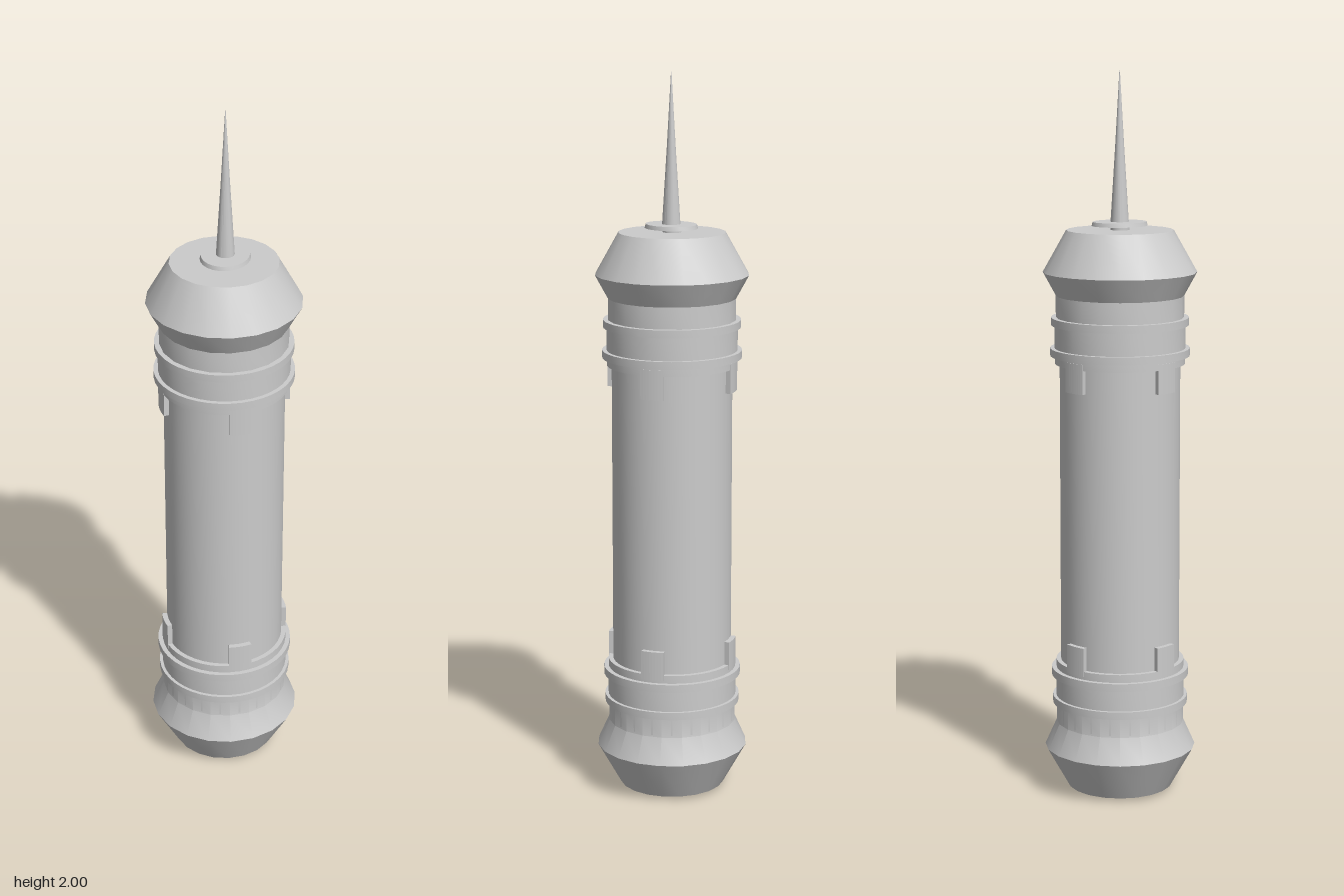
import * as THREE from 'three';
import { toCreasedNormals } from 'three/addons/utils/BufferGeometryUtils.js';

const material = new THREE.MeshStandardMaterial({ color: 0xcccccc });

function add(parent, name, geometry) {
  const mesh = new THREE.Mesh(geometry, material);
  mesh.name = name;
  parent.add(mesh);
  return mesh;
}

// Turned part from [radius, height] pairs, listed bottom to top
function turned(parent, name, profile, sides) {
  const points = profile.map(([r, y]) => new THREE.Vector2(r, y));
  const geometry = new THREE.LatheGeometry(points, sides);
  return add(parent, name, toCreasedNormals(geometry, 0.45));
}

// Curved block standing on a circle, from angle a0 to a1 around y
function curvedTab(parent, name, inner, outer, a0, a1, y0, y1) {
  const shape = new THREE.Shape();
  shape.absarc(0, 0, outer, a0, a1, false);
  shape.absarc(0, 0, inner, a1, a0, true);
  shape.closePath();
  const geometry = new THREE.ExtrudeGeometry(shape, {
    depth: y1 - y0, bevelEnabled: false, curveSegments: 4,
  });
  geometry.rotateX(-Math.PI / 2);
  geometry.translate(0, y0, 0);
  return add(parent, name, geometry);
}

function addTabs(parent, y0, y1) {
  const half = THREE.MathUtils.degToRad(10.5);
  for (let i = 0; i < 4; i++) {
    const a = THREE.MathUtils.degToRad(-62.5 + 90 * i);
    curvedTab(parent, 'collarTab', 0.155, 0.179, a - half, a + half, y0, y1);
  }
}

export function createModel() {
  const model = new THREE.Group();
  model.name = 'cylinderWithSpike';

  // Main barrel
  turned(model, 'barrel', [[0.165, 0.3], [0.165, 1.28]], 40);

  // Lower flared cap
  turned(model, 'lowerCap', [
    [0, 0.01], [0.146, 0.01], [0.21, 0.124], [0.178, 0.195], [0.178, 0.255],
  ], 20);
  turned(model, 'baseStud', [[0, 0], [0.027, 0], [0.027, 0.015]], 20);

  // Lower collar with two raised rings
  const lower = new THREE.Group();
  lower.name = 'lowerCollar';
  model.add(lower);
  turned(lower, 'collarBand', [
    [0.176, 0.2], [0.176, 0.25], [0.188, 0.25], [0.188, 0.271], [0.179, 0.271],
    [0.179, 0.33], [0.191, 0.33], [0.191, 0.352], [0.178, 0.352], [0.178, 0.374], [0.16, 0.374],
  ], 40);
  addTabs(lower, 0.36, 0.44);

  // Upper collar with two raised rings
  const upper = new THREE.Group();
  upper.name = 'upperCollar';
  model.add(upper);
  turned(upper, 'collarBand', [
    [0.16, 1.208], [0.178, 1.208], [0.178, 1.23], [0.191, 1.23], [0.191, 1.251], [0.179, 1.251],
    [0.179, 1.314], [0.188, 1.314], [0.188, 1.335], [0.16, 1.335],
  ], 40);
  addTabs(upper, 1.143, 1.225);

  // Upper flared cap
  turned(model, 'upperCap', [
    [0.175, 1.32], [0.175, 1.394], [0.21, 1.458], [0.146, 1.572], [0, 1.572],
  ], 20);

  // Thin oval plate under the spike
  const plate = turned(model, 'spikePlate', [
    [0, 1.583], [0.077, 1.583], [0.074, 1.594], [0, 1.594],
  ], 24);
  plate.scale.x = 0.87;
  plate.position.x = 0.003;
  turned(model, 'plateStem', [[0.026, 1.57], [0.026, 1.59]], 24);

  // Tapered spike
  turned(model, 'spike', [[0.025, 1.59], [0.012, 1.8], [0.001, 1.995], [0, 2]], 24).position.x = 0.003;

  return model;
}
